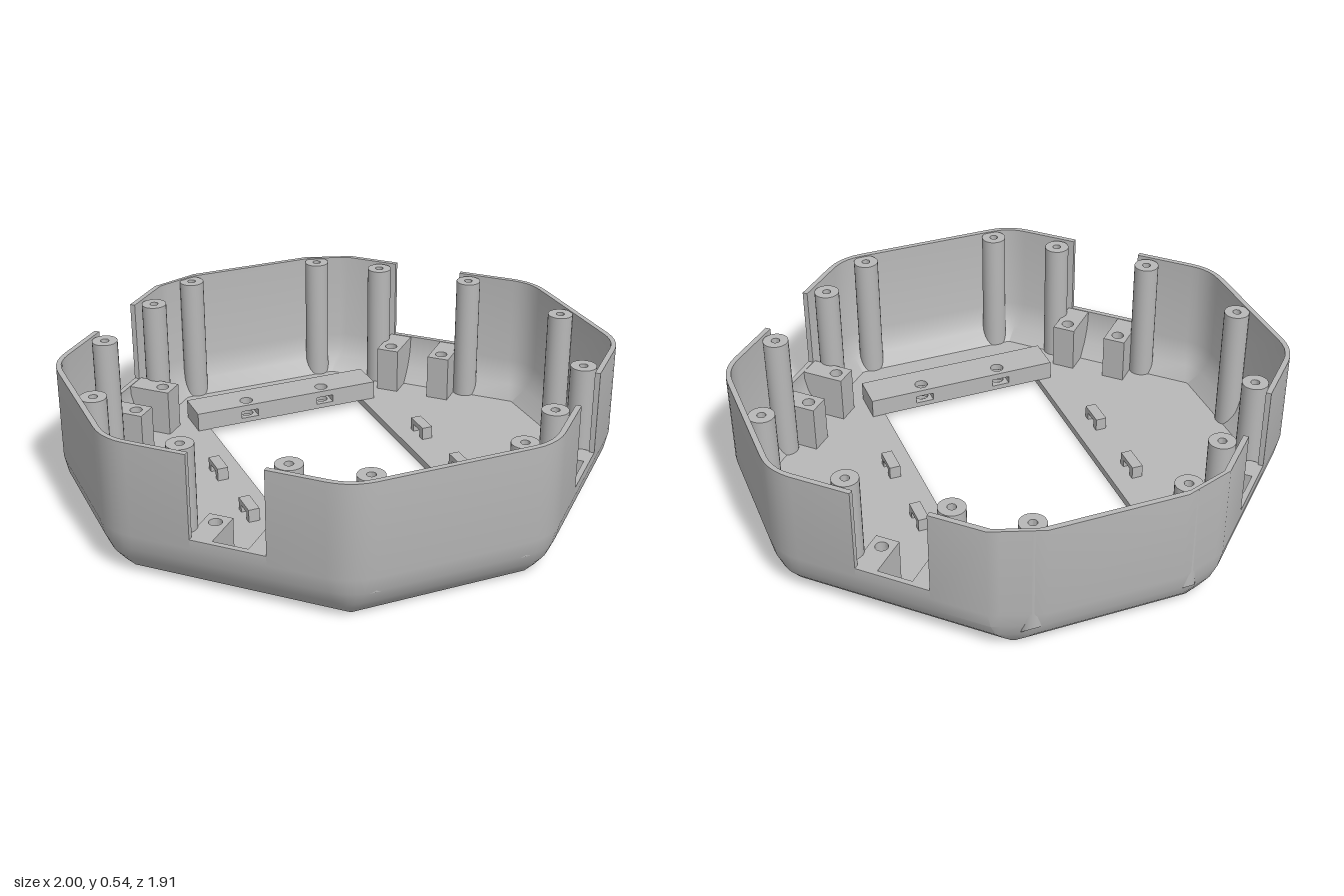
import * as THREE from 'three';
import { toCreasedNormals } from 'three/addons/utils/BufferGeometryUtils.js';

const plastic = new THREE.MeshStandardMaterial({ color: 0xb8b8b8 });
plastic.name = 'grey plastic';

const TOP = 0.535, SILL = 0.215, FLOOR = 0.03;
const DIAG = 1.325 / Math.SQRT2;
// distance of each octagon side from the centre, starting at +x and turning to +z
const DIST = [1, DIAG, 0.955, DIAG, 1, DIAG, 0.955, DIAG];
const normalOf = k => new THREE.Vector2(Math.cos(k * Math.PI / 4), Math.sin(k * Math.PI / 4));
const onSide = (k, inset, s) => {
  const n = normalOf(k), d = DIST[k] - inset;
  return new THREE.Vector2(n.x * d - n.y * s, n.y * d + n.x * s);
};
const notchCentre = k => (k % 4 === 1 ? -0.026 : 0.026);
const TAB = 0.111, TAB_HOLE = 0.141;

function mesh(name, geometry, parent) {
  const m = new THREE.Mesh(geometry, plastic);
  m.name = name;
  parent.add(m);
  return m;
}

// shape drawn in x,z and extruded from y0 to y1
function slab(shape, y0, y1) {
  return new THREE.ExtrudeGeometry(shape, { depth: y1 - y0, bevelEnabled: false, curveSegments: 12 })
    .rotateX(Math.PI / 2).translate(0, y1, 0);
}
const poly = pts => new THREE.Shape(pts.map(p => new THREE.Vector2(p[0], p[1])));
const rect = (x0, z0, x1, z1) => poly([[x0, z0], [x1, z0], [x1, z1], [x0, z1]]);
function punch(shape, x, z, r) {
  shape.holes.push(new THREE.Path().absarc(x, z, r, 0, Math.PI * 2, true));
}

// octagon corner k at a given inset, rounded (front and sides) or cut (back)
function corner(k, inset) {
  const j = (k + 1) % 8, a = normalOf(k), b = normalOf(j);
  const da = DIST[k] - inset, db = DIST[j] - inset;
  const det = a.x * b.y - a.y * b.x;
  const c = new THREE.Vector2((da * b.y - db * a.y) / det, (a.x * db - b.x * da) / det);
  const t = Math.max(0.004, 0.09 - 0.85 * inset);
  const back = k === 5 || k === 6;
  const p = c.clone().addScaledVector(new THREE.Vector2(a.y, -a.x), t * (k === 6 ? 1.35 : 1));
  const q = c.clone().addScaledVector(new THREE.Vector2(-b.y, b.x), t * (k === 5 ? 1.35 : 1));
  const mid = back ? p.clone().add(q).multiplyScalar(0.5) : c;
  return new THREE.QuadraticBezierCurve(p, mid, q).getPoints(5);
}

// outline columns; "low" columns stop at the notch sill
function outline(inset, notched) {
  const cols = [];
  for (let k = 0; k < 8; k++) {
    if (notched && k % 2) {
      const s = notchCentre(k);
      for (const [ds, low] of [[-0.14, false], [-0.14, true], [0.14, true], [0.14, false]])
        cols.push({ p: onSide(k, inset, s + ds), low });
    }
    for (const p of corner(k, inset)) cols.push({ p, low: false });
  }
  return cols;
}

// wall: outer profile up, over the rim and down the inside
function wallGeometry() {
  const profile = [[0.1, 0], [0.065, 0.035], [0.035, 0.07], [0.013, 0.12], [0, 0.18], [0, TOP],
    [0.02, TOP], [0.02, 0.18], [0.033, 0.13], [0.055, 0.085], [0.1, FLOOR]];
  const pos = [], index = [];
  let n = 0;
  profile.forEach(([inset, y], l) => {
    const cols = outline(inset, true);
    n = cols.length;
    cols.forEach(({ p, low }, i) => {
      pos.push(p.x, low ? Math.min(y, SILL) : y, p.y);
      if (l === profile.length - 1) return;
      const a = l * n + i, b = l * n + (i + 1) % n;
      index.push(a, a + n, b, b, a + n, b + n);
    });
  });
  const g = new THREE.BufferGeometry();
  g.setAttribute('position', new THREE.Float32BufferAttribute(pos, 3));
  g.setIndex(index);
  return toCreasedNormals(g, 0.5);
}

// screw post whose foot follows the sloping inside of the wall
function postGeometry(x, z) {
  const r = 0.048, h = 0.53;
  const pts = [[r, 0], [r, h], [0.016, h], [0.016, h - 0.12], [0, h - 0.12]].map(p => new THREE.Vector2(...p));
  const g = new THREE.LatheGeometry(pts, 24).translate(x, 0, z);
  const pos = g.attributes.position;
  for (let i = 0; i < pos.count; i++) {
    if (pos.getY(i) > 0.001) continue;
    const p = new THREE.Vector2(pos.getX(i), pos.getZ(i));
    const inset = Math.min(...DIST.map((d, k) => d - normalOf(k).dot(p)));
    pos.setY(i, Math.max(0.02, 0.13 - inset));
  }
  return toCreasedNormals(g, 0.6);
}

export function createModel() {
  const model = new THREE.Group();
  model.name = 'octagonalHousing';
  mesh('wall', wallGeometry(), model);

  // floor with a central opening and screw holes below the tabs
  const floor = new THREE.Shape(outline(0.1, false).map(c => c.p));
  floor.holes.push(rect(-0.335, -0.63, 0.335, 0.62));
  for (const k of [1, 3, 5, 7])
    for (const d of [-TAB, TAB]) {
      const p = onSide(k, TAB_HOLE, notchCentre(k) + d);
      punch(floor, p.x, p.y, 0.024);
    }
  mesh('floor', slab(floor, 0, FLOOR), model);

  // screw posts
  for (const sx of [-1, 1]) {
    for (const sz of [-1, 1])
      for (const [x, z] of [[0.277, 0.895], [0.49, 0.725], [0.767, 0.452]])
        mesh('screwPost', postGeometry(sx * x, sz * z), model);
    mesh('screwPost', postGeometry(sx * 0.935, 0), model);
  }

  // pair of drilled tabs under each notch
  for (const k of [1, 3, 5, 7]) {
    const pair = new THREE.Group();
    pair.name = 'notchTabs';
    pair.rotation.y = Math.PI / 2 - k * Math.PI / 4;
    model.add(pair);
    for (const d of [-TAB, TAB]) {
      const x = -notchCentre(k) + d, top = SILL - 0.002;
      const head = rect(-0.045, DIAG - 0.187, 0.045, DIAG - 0.095);
      punch(head, 0, DIAG - TAB_HOLE, 0.024);
      mesh('tabHead', slab(head, FLOOR, top), pair).position.x = x;
      const side = poly([[0.095, FLOOR], [0.045, 0.08], [0.01, 0.16], [0.01, top], [0.095, top]]
        .map(([i, y]) => [DIAG - i, y]));
      const root = new THREE.ExtrudeGeometry(side, { depth: 0.09, bevelEnabled: false })
        .rotateY(-Math.PI / 2).translate(0.045, 0, 0);
      mesh('tabRoot', root, pair).position.x = x;
    }
  }

  // mounting bars at both ends of the opening, layered around the nut pockets
  for (const back of [false, true]) {
    const bar = new THREE.Group();
    bar.name = back ? 'backBar' : 'frontBar';
    if (back) bar.rotation.y = Math.PI;
    bar.position.z = back ? -0.01 : 0;
    model.add(bar);
    const plate = rect(-0.387, 0.53, 0.387, 0.67);
    for (const x of [-0.165, 0.165]) punch(plate, x, 0.575, 0.026);
    const pocket = [];
    for (const x of [-0.165, 0.165])
      pocket.push([x - 0.036, 0.53], [x - 0.036, 0.615], [x + 0.036, 0.615], [x + 0.036, 0.53]);
    const middle = poly([[-0.387, 0.53], ...pocket, [0.387, 0.53], [0.387, 0.67], [-0.387, 0.67]]);
    mesh('barBase', slab(plate, FLOOR, 0.05), bar);
    mesh('barPockets', slab(middle, 0.05, 0.08), bar);
    mesh('barTop', slab(plate, 0.08, 0.105), bar);
  }

  // cable loops on the floor
  for (const x of [-0.432, 0.428])
    for (const z of [-0.17, 0.167]) {
      const loop = new THREE.Group();
      loop.name = 'cableLoop';
      loop.position.set(x, FLOOR, z);
      model.add(loop);
      for (const s of [-1, 1])
        mesh('loopFoot', new THREE.BoxGeometry(0.042, 0.03, 0.025), loop).position.set(0, 0.015, s * 0.04);
      mesh('loopBridge', new THREE.BoxGeometry(0.042, 0.02, 0.105), loop).position.y = 0.04;
    }
  return model;
}
